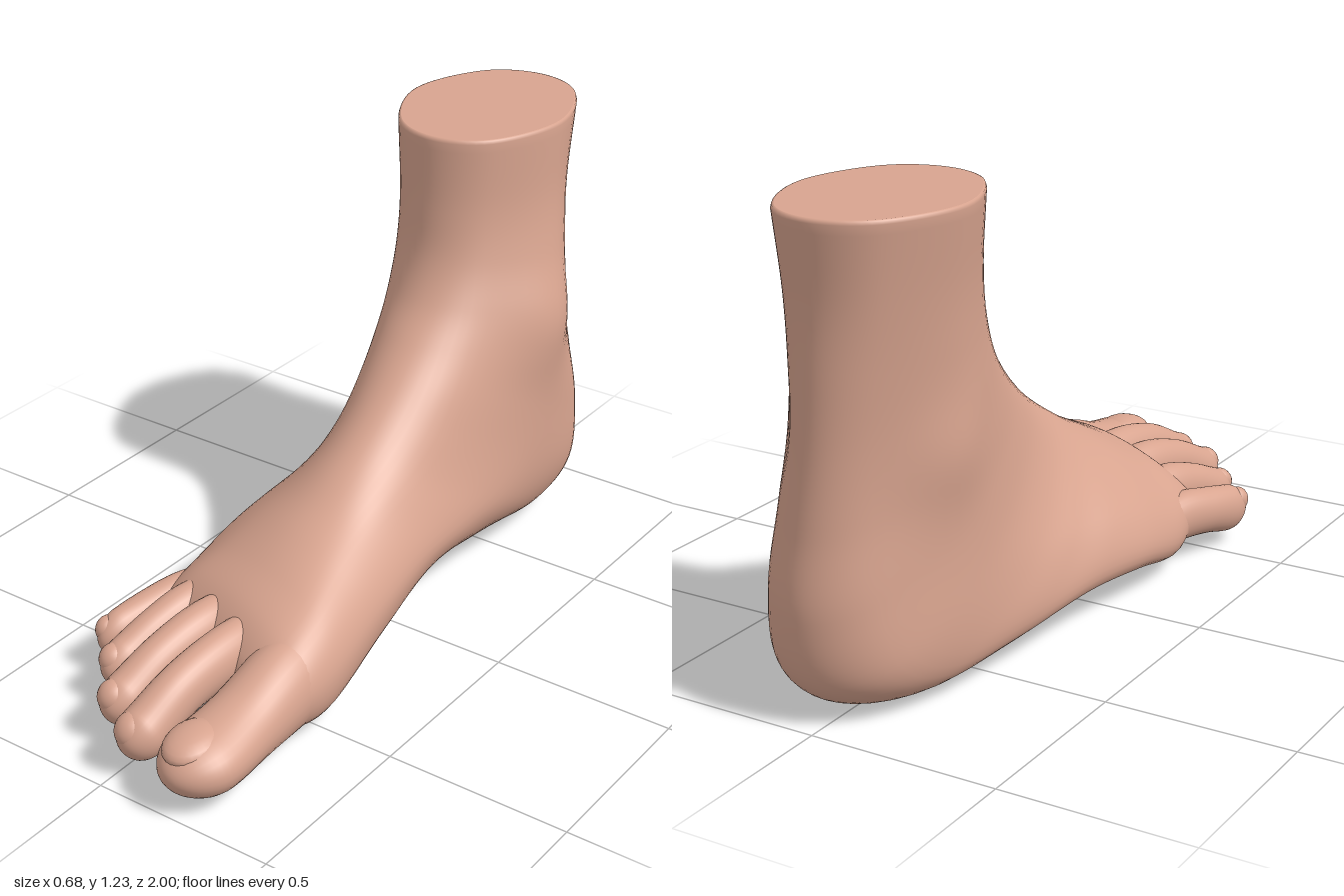
import * as THREE from 'three';

const skin = new THREE.MeshStandardMaterial({ color: 0xd8a48f });
skin.name = 'skin';

// Each station spans from a front/instep point to a heel/sole point:
// frontZ, frontY, backZ, backY, then half-outline x on the inner side
// (back, middle, front) and on the outer side (back, middle, front).
const legStations = [
  [-0.385, 1.225, -0.99, 1.225, 0.128, 0.22, 0.15, -0.172, -0.246, -0.146],
  [-0.37, 1.04, -0.97, 1.03, 0.118, 0.222, 0.145, -0.148, -0.218, -0.128],
  [-0.345, 0.91, -0.968, 0.85, 0.115, 0.244, 0.16, -0.125, -0.207, -0.122],
  [-0.29, 0.805, -0.97, 0.66, 0.13, 0.272, 0.18, -0.11, -0.203, -0.115],
  [-0.21, 0.722, -0.982, 0.48, 0.16, 0.28, 0.19, -0.11, -0.198, -0.105],
  [-0.12, 0.648, -1.0, 0.28, 0.19, 0.278, 0.2, -0.125, -0.196, -0.098],
];
const footStations = [
  [-0.03, 0.582, -0.955, 0.09, 0.21, 0.278, 0.205, -0.155, -0.202, -0.095],
  [0.05, 0.53, -0.78, 0.012, 0.195, 0.278, 0.205, -0.18, -0.215, -0.095],
  [0.13, 0.484, -0.5, 0.03, 0.165, 0.278, 0.205, -0.22, -0.235, -0.098],
  [0.22, 0.436, -0.2, 0.068, 0.165, 0.284, 0.207, -0.262, -0.258, -0.108],
  [0.32, 0.392, 0.12, 0.05, 0.225, 0.308, 0.222, -0.285, -0.278, -0.125],
  [0.43, 0.343, 0.4, 0.0, 0.27, 0.334, 0.25, -0.27, -0.288, -0.15],
  [0.54, 0.293, 0.53, 0.012, 0.262, 0.325, 0.25, -0.24, -0.278, -0.175],
  [0.61, 0.23, 0.6, 0.055, 0.25, 0.295, 0.23, -0.22, -0.26, -0.185],
  [0.64, 0.17, 0.635, 0.1, 0.21, 0.24, 0.2, -0.18, -0.21, -0.17],
];

// Skins a list of rings; the end is closed with a shared centre point.
function loft(rings) {
  const n = rings[0].length, pos = [], idx = [];
  for (const ring of rings) for (const p of ring) pos.push(p.x, p.y, p.z);
  for (let i = 0; i < rings.length - 1; i++) {
    for (let j = 0; j < n; j++) {
      const a = i * n + j, b = i * n + (j + 1) % n;
      idx.push(a, b, a + n, b, b + n, a + n);
    }
  }
  const c = centre(rings.at(-1)), o = (rings.length - 1) * n;
  pos.push(c.x, c.y, c.z);
  for (let j = 0; j < n; j++) idx.push(rings.length * n, o + j, o + (j + 1) % n);
  const g = new THREE.BufferGeometry();
  g.setAttribute('position', new THREE.Float32BufferAttribute(pos, 3));
  g.setIndex(idx);
  g.computeVertexNormals();
  return g;
}

function centre(ring) {
  return ring.reduce((s, p) => s.add(p), new THREE.Vector3()).divideScalar(ring.length);
}

// Smooth interpolation of one column of numbers.
function spline(list, t) {
  const i = Math.min(Math.floor(t), list.length - 2), f = t - i;
  const b = list[i], c = list[i + 1], a = list[i - 1] ?? 2 * b - c, d = list[i + 2] ?? 2 * c - b;
  return b + 0.5 * f * (c - a + f * (2 * a - 5 * b + 4 * c - d + f * (3 * (b - c) + d - a)));
}

// Ankle bones and the inner hollow beside the heel tendon: x, y, z, push, spread
const bumps = [
  [0.27, 0.7, -0.57, 0.02, 0.13],
  [-0.21, 0.62, -0.7, -0.02, 0.12],
  [0.17, 0.72, -0.84, -0.012, 0.11],
];

function sectionRing([fz, fy, bz, by, m1, m2, m3, l1, l2, l3]) {
  const outline = new THREE.CatmullRomCurve3([
    [(m1 + l1) / 2, 0], [m1, 0.12], [m2, 0.5], [m3, 0.88],
    [(m3 + l3) / 2, 1], [l3, 0.88], [l2, 0.5], [l1, 0.12],
  ].map(([x, u]) => new THREE.Vector3(x, u, 0)), true, 'catmullrom', 0.5);
  return outline.getPoints(64).slice(0, 64).map(({ x, y: u }) => {
    const p = new THREE.Vector3(x, by + (fy - by) * u, bz + (fz - bz) * u);
    // the toe line slants back toward the little toe, whose side sits lower
    const front = THREE.MathUtils.smoothstep(p.z, -0.25, 0.6);
    p.z += 0.4 * front * (x - 0.12);
    p.y += 0.05 * front * (0.2 - x) * (1 - 2 * u);
    let push = 0;
    for (const [bx, y, z, amount, r] of bumps) {
      push += amount * Math.exp(-p.distanceToSquared(new THREE.Vector3(bx, y, z)) / (r * r));
    }
    p.x += push;
    return p;
  });
}

// Toe: path points with half width and half height; the last span is the rounded tip.
function toeGeometry(points) {
  const path = new THREE.CatmullRomCurve3(points.map(p => new THREE.Vector3(p[0], p[1], p[2])));
  const spans = points.length - 1, rings = [];
  const addRing = (t, scale) => {
    const c = path.getPoint(t / spans), dir = path.getTangent(t / spans);
    const side = new THREE.Vector3(0, 1, 0).cross(dir).normalize();
    const up = dir.clone().cross(side);
    const w = spline(points.map(p => p[3]), t) * scale, h = spline(points.map(p => p[4]), t) * scale;
    rings.push(Array.from({ length: 32 }, (_, j) => {
      const a = j / 32 * Math.PI * 2;
      return c.clone().addScaledVector(side, w * Math.cos(a)).addScaledVector(up, h * Math.sin(a));
    }));
  };
  for (let i = 0; i < 24; i++) addRing(i / 24 * (spans - 1), 1);
  for (let i = 0; i < 12; i++) {
    const a = i / 12 * Math.PI / 2;
    addRing(spans - 1 + Math.sin(a), Math.cos(a));
  }
  return loft(rings);
}

// Nail: centre x, y, z, half width, half height, half length, tilt
const toes = {
  bigToe: {
    path: [[0.215, 0.16, 0.4, 0.1, 0.13], [0.229, 0.15, 0.58, 0.1, 0.12], [0.228, 0.125, 0.74, 0.1, 0.094],
      [0.224, 0.111, 0.88, 0.108, 0.081], [0.212, 0.11, 1.0, 0.1, 0.075]],
    nail: [0.21, 0.162, 0.9, 0.068, 0.037, 0.085, 0.12],
  },
  secondToe: {
    path: [[0.08, 0.16, 0.4, 0.06, 0.09], [0.072, 0.19, 0.58, 0.062, 0.08], [0.055, 0.17, 0.75, 0.06, 0.071],
      [0.038, 0.11, 0.88, 0.064, 0.07], [0.033, 0.095, 0.95, 0.06, 0.065]],
    nail: [0.027, 0.131, 0.912, 0.042, 0.036, 0.046, 0.85],
  },
  thirdToe: {
    path: [[-0.03, 0.15, 0.36, 0.06, 0.09], [-0.045, 0.187, 0.53, 0.062, 0.08], [-0.068, 0.165, 0.68, 0.058, 0.069],
      [-0.087, 0.112, 0.8, 0.061, 0.068], [-0.092, 0.1, 0.87, 0.057, 0.063]],
    nail: [-0.098, 0.133, 0.833, 0.04, 0.036, 0.043, 0.85],
  },
  fourthToe: {
    path: [[-0.13, 0.14, 0.3, 0.055, 0.08], [-0.155, 0.168, 0.46, 0.059, 0.075], [-0.177, 0.15, 0.57, 0.054, 0.066],
      [-0.196, 0.11, 0.67, 0.055, 0.066], [-0.202, 0.098, 0.745, 0.051, 0.061]],
    nail: [-0.208, 0.13, 0.706, 0.036, 0.034, 0.04, 0.85],
  },
  littleToe: {
    path: [[-0.215, 0.12, 0.24, 0.045, 0.06], [-0.243, 0.135, 0.38, 0.054, 0.068], [-0.271, 0.125, 0.48, 0.054, 0.065],
      [-0.293, 0.107, 0.57, 0.05, 0.066], [-0.305, 0.097, 0.645, 0.046, 0.06]],
    nail: [-0.313, 0.125, 0.606, 0.03, 0.034, 0.036, 0.85],
  },
};

export function createModel() {
  const model = new THREE.Group();
  model.name = 'foot';
  const add = (parent, name, geometry) => {
    const mesh = new THREE.Mesh(geometry, skin);
    mesh.name = name;
    parent.add(mesh);
    return mesh;
  };

  // Ankle, heel, instep and ball as one smooth skin
  const stations = [...legStations, ...footStations];
  const rings = [];
  const steps = (stations.length - 1) * 8;
  for (let i = 0; i <= steps; i++) {
    rings.push(sectionRing(stations[0].map((_, k) => spline(stations.map(s => s[k]), i / 8))));
  }
  // rounded rim at the cut above the ankle
  const mid = centre(rings[0]);
  const rim = [[0.99, 0.008], [0.97, 0.01]].map(([s, lift]) =>
    rings[0].map(p => p.clone().sub(mid).multiplyScalar(s).add(mid).setY(p.y + lift)));
  rings.unshift(rim[1], rim[0]);
  add(model, 'ankleAndFoot', loft(rings));

  // Flat top of the leg
  add(model, 'legTop', loft([rim[1].slice().reverse()]));

  // Toes with gently domed nails
  for (const [name, { path, nail: [x, y, z, w, h, l, tilt] }] of Object.entries(toes)) {
    const toe = new THREE.Group();
    toe.name = name;
    add(toe, name + 'Body', toeGeometry(path));
    const nail = add(toe, name + 'Nail', new THREE.SphereGeometry(1, 24, 12));
    nail.scale.set(w, h, l);
    nail.position.set(x, y, z);
    nail.rotation.x = tilt;
    model.add(toe);
  }
  return model;
}
